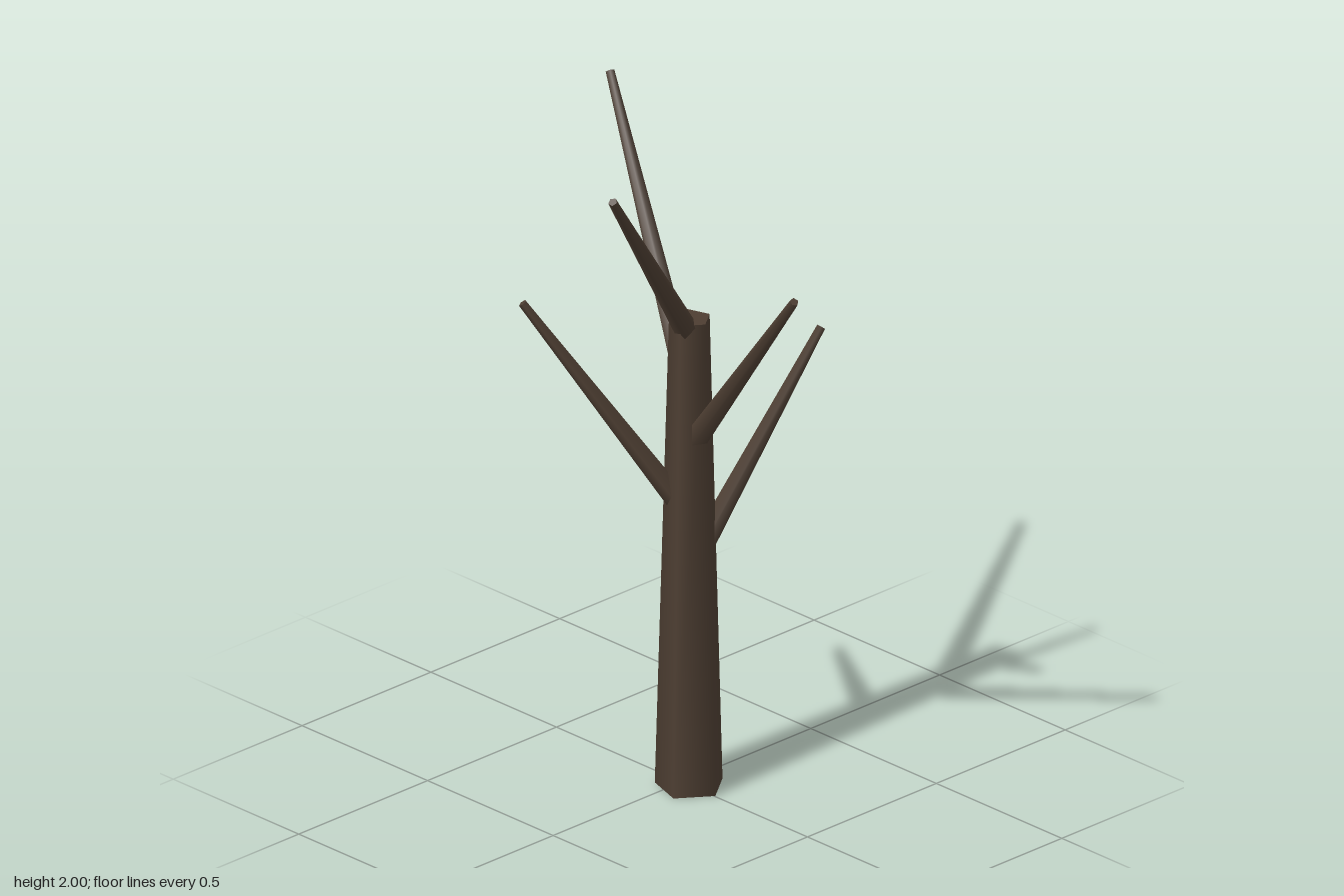
import * as THREE from 'three';

export function createModel() {
  const model = new THREE.Group();
  model.name = 'bareTree';
  const bark = new THREE.MeshStandardMaterial({ color: 0x4d3e32 });
  bark.name = 'darkBark';
  const sides = 5;
  const axisX = 0.003, axisZ = 0.03;

  // Tapered five-sided trunk
  const trunkHeight = 1.435;
  const trunk = new THREE.Mesh(new THREE.CylinderGeometry(0.06, 0.1, trunkHeight, sides), bark);
  trunk.name = 'trunk';
  trunk.position.set(axisX, trunkHeight / 2, axisZ);
  model.add(trunk);

  // Branches grow from the trunk axis: start height, then tip x, y, z
  const branches = [
    [0.67, 0.446, 1.285, 0.096],
    [0.83, -0.318, 1.473, -0.308],
    [1.04, -0.087, 1.685, 0.537],
    [1.19, 0.247, 1.922, -0.54],
    [1.38, -0.449, 1.992, 0.185],
  ];
  branches.forEach(([startY, x, y, z], i) => {
    const start = new THREE.Vector3(axisX, startY, axisZ);
    const span = new THREE.Vector3(x, y, z).sub(start);
    const length = span.length();
    const geometry = new THREE.CylinderGeometry(0.013, 0.036, length, sides);
    geometry.translate(0, length / 2, 0);
    const branch = new THREE.Mesh(geometry, bark);
    branch.name = 'branch' + (i + 1);
    branch.position.copy(start);
    // Lean toward local -x, then turn around the trunk
    branch.rotation.order = 'YXZ';
    branch.rotation.z = Math.acos(span.y / length);
    branch.rotation.y = Math.atan2(span.z, -span.x);
    model.add(branch);
  });
  return model;
}
